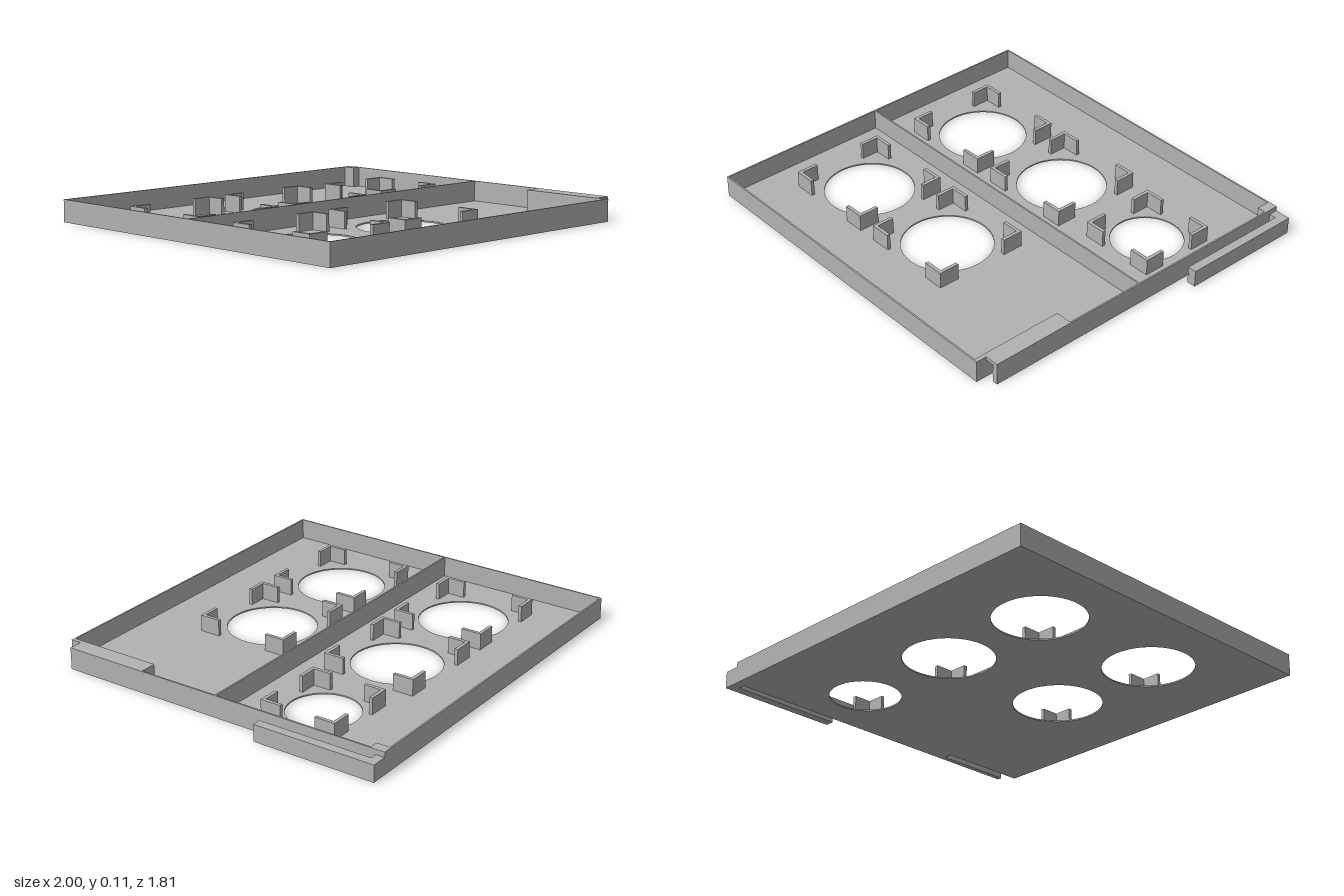
import * as THREE from 'three';

export function createModel() {
  const root = new THREE.Group();
  root.name = 'partitionedTray';
  const grey = new THREE.MeshStandardMaterial({ color: 0xb2b2b2 });
  grey.name = 'plain grey';

  const H = 0.11, FLOOR = 0.007, WALL = 0.008, D = 0.905, RIGHT = 0.92;
  const SLOT_L = 0.85, SLOT_R = 0.895, SLOT_END = 0.44;

  function add(name, geometry, parent = root) {
    const mesh = new THREE.Mesh(geometry, grey);
    mesh.name = name;
    parent.add(mesh);
    return mesh;
  }
  // box given by its limits on each axis
  function box(name, x0, x1, y0, y1, z0, z1, parent) {
    const m = add(name, new THREE.BoxGeometry(x1 - x0, y1 - y0, z1 - z0), parent);
    m.position.set((x0 + x1) / 2, (y0 + y1) / 2, (z0 + z1) / 2);
    return m;
  }
  const outline = pts => new THREE.Shape(pts.map(p => new THREE.Vector2(...p)));
  // front-facing profile swept along z
  function sweep(name, pts, z0, z1) {
    const g = new THREE.ExtrudeGeometry(outline(pts), { depth: z1 - z0, bevelEnabled: false });
    add(name, g.translate(0, 0, z0));
  }

  // openings: centre x, centre z, radius, half width of the bracket square
  const openings = [
    [-0.585, -0.367, 0.22, 0.246], [0.006, -0.367, 0.22, 0.246], [0.6, -0.365, 0.175, 0.2],
    [-0.585, 0.362, 0.22, 0.246], [0.006, 0.362, 0.22, 0.246],
  ];

  // floor with round openings and the slot at the front right
  const floor = outline([
    [-1, -D], [RIGHT, -D], [RIGHT, 0.85], [SLOT_R, 0.85], [SLOT_R, SLOT_END],
    [SLOT_L, SLOT_END], [SLOT_L, D], [-1, D],
  ]);
  for (const [x, z, r] of openings) {
    const hole = new THREE.Path();
    hole.absarc(x, z, r, 0, Math.PI * 2, true);
    floor.holes.push(hole);
  }
  const floorGeo = new THREE.ExtrudeGeometry(floor, { depth: FLOOR, bevelEnabled: false, curveSegments: 48 });
  add('floor', floorGeo.rotateX(Math.PI / 2).translate(0, FLOOR, 0));

  // rim and divider
  box('backWall', -1, RIGHT, 0, H, -D, -D + WALL);
  box('frontWall', -1, SLOT_L, 0, H, D - WALL, D);
  box('leftWall', -1, -1 + WALL, 0, H, -D, D);
  box('rightWall', RIGHT - WALL, RIGHT, 0, H, -D, SLOT_END);
  box('divider', -1, RIGHT, 0, H, -WALL / 2, WALL / 2);

  // corner brackets around each opening
  const LEN = 0.107, T = 0.017, TOP = 0.09;
  for (const [cx, cz, , half] of openings) {
    const set = new THREE.Group();
    set.name = 'cornerBrackets';
    set.position.set(cx, 0, cz);
    root.add(set);
    const shape = outline([[0, 0], [LEN, 0], [LEN, T], [T, T], [T, LEN], [0, LEN]]);
    const geo = new THREE.ExtrudeGeometry(shape, { depth: TOP - FLOOR / 2, bevelEnabled: false });
    geo.rotateX(Math.PI / 2).translate(-half, TOP, -half);
    for (let i = 0; i < 4; i++) add('bracket', geo, set).rotation.y = i * Math.PI / 2;
  }

  // socket housing: a groove open below and to the front, with a small catch ridge
  sweep('socket', [
    [0.83, 0], [SLOT_L, 0], [SLOT_L, 0.093], [SLOT_R, 0.093], [SLOT_R, 0.06],
    [SLOT_R - 0.008, 0.05], [SLOT_R - 0.008, 0.045], [SLOT_R, 0.035],
    [SLOT_R, 0], [RIGHT, 0], [RIGHT, H], [0.83, H],
  ], SLOT_END, 0.85);
  box('socketInnerWall', 0.83, SLOT_L, 0, H, 0.85, D);
  box('socketEnd', 0.83, RIGHT, 0, H, 0.42, SLOT_END);

  // clip arm along the right side, joined at the back corner
  sweep('clipArm', [
    [0.955, 0], [1, 0], [1, 0.085], [0.955, 0.085], [0.955, 0.06],
    [0.965, 0.05], [0.965, 0.045], [0.955, 0.035],
  ], -D, -0.275);
  box('clipBridge', RIGHT - WALL, 0.965, 0, 0.085, -D, -0.86);
  box('cornerBlock', 0.87, RIGHT, 0, H, -D, -0.83);

  return root;
}
